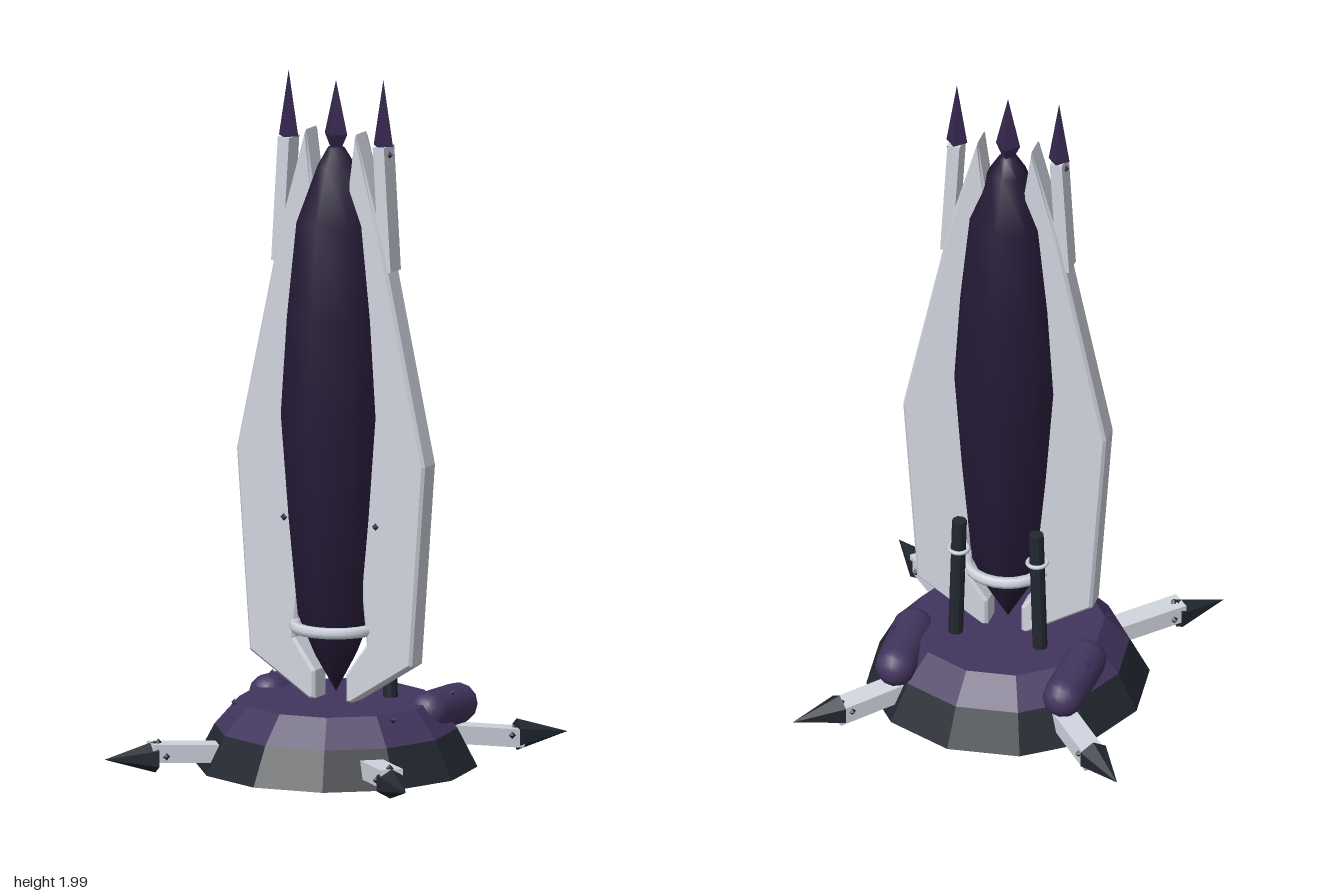
import * as THREE from 'three';

const mat = (color, flatShading = true) => new THREE.MeshStandardMaterial({ color, flatShading });
const PALE = mat(0xd0d4de);
const PALE_SMOOTH = mat(0xd0d4de, false);
const SLATE = mat(0x222831);
const PURPLE = mat(0x43355f);
const PURPLE_SMOOTH = mat(0x43355f, false);
const HULL = mat(0x241a36, false);
const SPIKE = mat(0x362850);

function add(parent, name, geometry, material, x = 0, y = 0, z = 0) {
  const mesh = new THREE.Mesh(geometry, material);
  mesh.name = name;
  mesh.position.set(x, y, z);
  parent.add(mesh);
  return mesh;
}

const rivet = (parent, x, y, z, material = SPIKE) =>
  add(parent, 'rivet', new THREE.OctahedronGeometry(0.011), material, x, y, z);

const lathe = (points, sides, start = 0) =>
  new THREE.LatheGeometry(points.map(([r, y]) => new THREE.Vector2(r, y)), sides, start);

// Side fin: bevelled plate, mirrored by s
function finGeometry(s) {
  const outline = [
    [0.05, 0.19], [0.065, 0.185], [0.26, 0.31], [0.302, 0.89], [0.16, 1.55], [0.08, 1.83],
    [0.055, 1.66], [0.06, 1.5], [0.1, 1.0], [0.1, 0.5], [0.115, 0.36], [0.05, 0.27],
  ];
  const shape = new THREE.Shape(outline.map(([x, y]) => new THREE.Vector2(x * s, y)));
  const geometry = new THREE.ExtrudeGeometry(shape, {
    depth: 0.058, bevelThickness: 0.009, bevelSize: 0.008, bevelOffset: -0.008, bevelSegments: 1,
  });
  return geometry.translate(0, 0, -0.029);
}

export function createModel() {
  const model = new THREE.Group();
  model.name = 'spireOnBase';

  // Twelve-sided stepped base
  const start = -0.125;
  add(model, 'baseFoot', new THREE.CylinderGeometry(0.345, 0.402, 0.11, 12, 1, false, start), SLATE, 0, 0.055);
  add(model, 'baseDeck', new THREE.CylinderGeometry(0.275, 0.345, 0.08, 12, 1, false, start), PURPLE, 0, 0.15);

  // Central hull, pointed at the bottom, and its tip
  add(model, 'hull', lathe([
    [0, 0.21], [0.062, 0.32], [0.113, 0.44], [0.14, 0.72], [0.163, 1.02],
    [0.145, 1.3], [0.117, 1.57], [0.055, 1.73], [0.025, 1.78], [0, 1.79],
  ], 8), HULL);
  add(model, 'hullTip', lathe([[0, 1.74], [0.036, 1.82], [0, 1.975]], 4), SPIKE);

  // Collar round the lower hull
  const collar = add(model, 'collar', new THREE.TorusGeometry(0.118, 0.017, 6, 24), PALE_SMOOTH, 0, 0.4);
  collar.rotation.x = Math.PI / 2;

  for (const s of [-1, 1]) {
    add(model, 'fin', finGeometry(s), PALE);
    rivet(model, s * 0.147, 0.705, 0.038);

    // Slim lance above the fin's outer edge
    const lance = new THREE.Group();
    lance.name = 'lance';
    lance.position.set(s * 0.152, 1.8, 0);
    add(lance, 'lanceShaft', new THREE.BoxGeometry(0.036, 0.36, 0.062), PALE, 0, -0.18).rotation.z = 0;
    add(lance, 'lanceTip', new THREE.ConeGeometry(0.031, 0.19, 4), SPIKE, 0, 0.095);
    rivet(lance, s * 0.02, -0.025, 0);
    lance.children[0].rotation.z = s * 0.06;
    lance.children[0].position.x = s * 0.011;
    model.add(lance);

    // Rear strut with its small ring
    const strut = new THREE.Group();
    strut.name = 'strut';
    strut.position.set(s * 0.12, 0.375, -0.092);
    strut.rotation.z = s * 0.03;
    add(strut, 'strutRod', new THREE.CylinderGeometry(0.021, 0.021, 0.39, 10), SLATE);
    const ring = add(strut, 'strutRing', new THREE.TorusGeometry(0.028, 0.006, 6, 16), PALE_SMOOTH, 0, 0.1);
    ring.rotation.x = Math.PI / 2;
    model.add(strut);

    // Rounded pod lying on the back of the deck
    const pod = add(model, 'pod', new THREE.CapsuleGeometry(0.059, 0.18, 5, 12), PURPLE_SMOOTH, s * 0.253, 0.157, -0.168);
    pod.rotation.set(Math.PI / 2 - 0.05, 0, -s * 0.04);
    rivet(model, s * 0.287, 0.205, -0.155);
    rivet(model, s * 0.254, 0.176, 0.132);

    // Diagonal legs ending in spikes
    for (const front of [-1, 1]) {
      const leg = new THREE.Group();
      leg.name = 'leg';
      leg.position.y = 0.06;
      leg.rotation.y = Math.atan2(s, front);
      const bar = add(leg, 'legBar', new THREE.BoxGeometry(0.066, 0.052, 0.25), PALE, 0, 0, 0.425);
      bar.rotation.x = front > 0 ? -0.06 : 0.12;
      const spike = add(leg, 'legSpike', new THREE.ConeGeometry(0.046, 0.15, 6), SLATE, 0, -0.007, 0.608);
      spike.rotation.x = Math.PI / 2;
      rivet(leg, 0, front > 0 ? 0.034 : 0.012, 0.525, SLATE);
      for (const side of [-1, 1]) rivet(leg, side * 0.034, -0.002, 0.51, SLATE);
      model.add(leg);
    }
  }
  return model;
}
